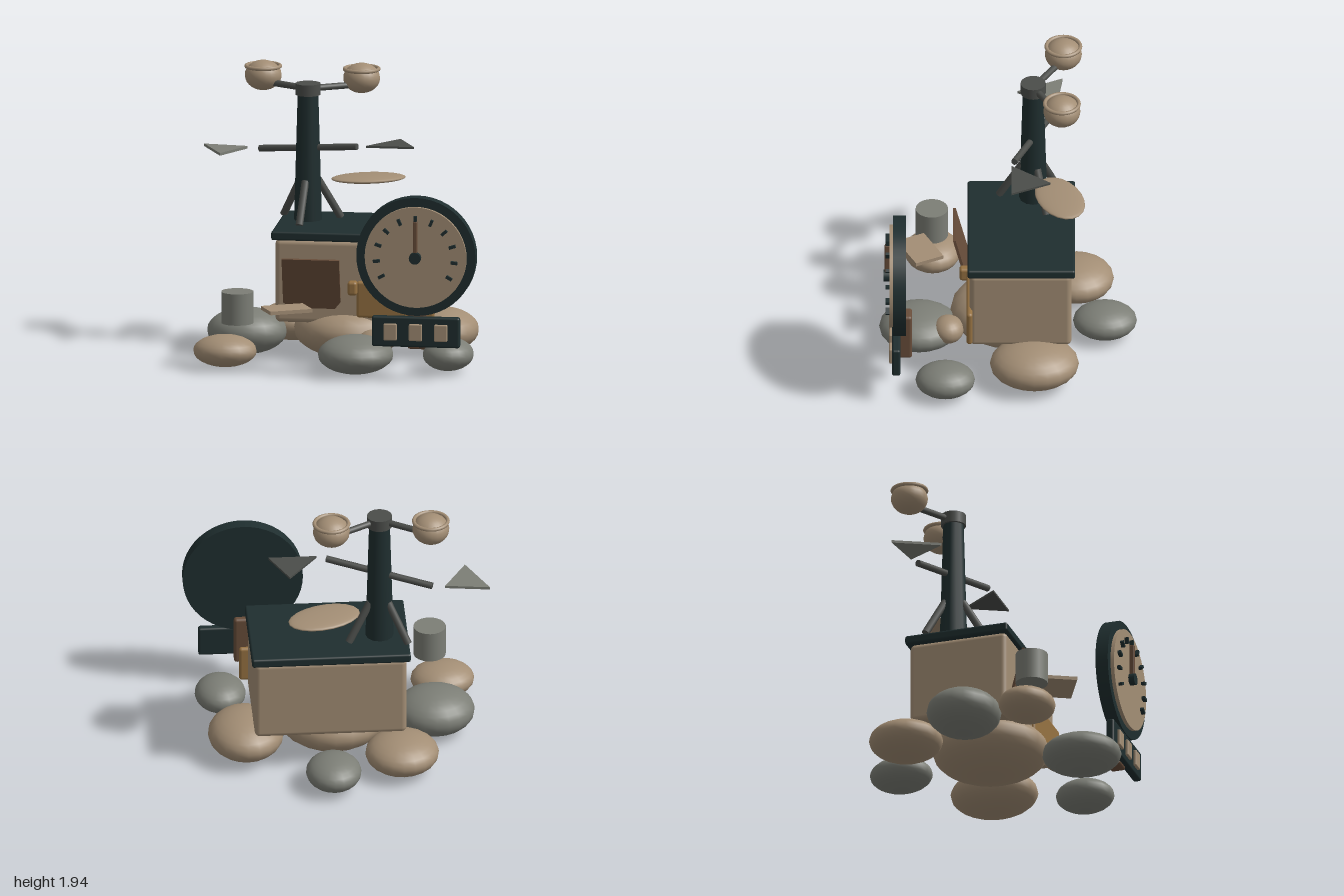
import * as THREE from 'three';
import { RoundedBoxGeometry } from 'three/addons/geometries/RoundedBoxGeometry.js';

const mat = (name, color, side = THREE.FrontSide) => {
  const m = new THREE.MeshStandardMaterial({ color, side });
  m.name = name;
  return m;
};

export function createModel() {
  const group = new THREE.Group();
  const tan = mat('tan', 0xa38e75);
  const dark = mat('dark teal', 0x1f2e2f);
  const metal = mat('dark metal', 0x4b4d4a);
  const stone = mat('stone grey', 0x7c7e76);
  const brown = mat('brown', 0x684d3a);
  const ochre = mat('ochre', 0x967242);

  const add = (name, geometry, material, x = 0, y = 0, z = 0) => {
    const mesh = new THREE.Mesh(geometry, material);
    mesh.name = name;
    mesh.position.set(x, y, z);
    group.add(mesh);
    return mesh;
  };
  // Rounded box given by its limits on each axis
  const box = (name, material, [x0, x1], [y0, y1], [z0, z1], r = 0.01) =>
    add(name, new RoundedBoxGeometry(x1 - x0, y1 - y0, z1 - z0, 3, r), material,
      (x0 + x1) / 2, (y0 + y1) / 2, (z0 + z1) / 2);
  // Straight rod between two points
  const rod = (name, material, a, b, r, sides = 10) => {
    const p = new THREE.Vector3(...a), q = new THREE.Vector3(...b);
    const d = q.clone().sub(p);
    const m = add(name, new THREE.CylinderGeometry(r, r, d.length(), sides), material);
    m.position.copy(p).add(q).multiplyScalar(0.5);
    m.quaternion.setFromUnitVectors(new THREE.Vector3(0, 1, 0), d.normalize());
    return m;
  };
  const ellipsoid = (name, material, [x, y, z], [rx, ry, rz], w = 20, h = 14) => {
    const m = add(name, new THREE.SphereGeometry(1, w, h), material, x, y, z);
    m.scale.set(rx, ry, rz);
    return m;
  };

  // Rocks
  [
    [tan, [0.04, 0.193, -0.01], [0.38, 0.193, 0.395]],
    [stone, [-0.655, 0.165, 0.03], [0.27, 0.155, 0.25]],
    [tan, [-0.74, 0.12, 0.505], [0.215, 0.108, 0.19]],
    [stone, [0.16, 0.137, 0.595], [0.255, 0.128, 0.27]],
    [tan, [0.26, 0.18, 0.4], [0.115, 0.09, 0.105]],
    [stone, [0.765, 0.12, 0.42], [0.172, 0.11, 0.2]],
    [tan, [0.635, 0.163, -0.18], [0.255, 0.148, 0.3]],
    [stone, [0.075, 0.125, -0.655], [0.187, 0.11, 0.215]],
    [tan, [-0.4, 0.14, -0.465], [0.248, 0.128, 0.25]],
  ].forEach(([m, p, s]) => ellipsoid('rock', m, p, s));

  // Hut
  box('hutBody', tan, [-0.435, 0.59], [0.27, 0.84], [-0.43, 0.255], 0.035);
  box('hutRoof', dark, [-0.46, 0.61], [0.835, 0.897], [-0.455, 0.27], 0.015);

  // Tilted hatch with clipped lower corners
  const hatch = new THREE.Shape([
    [-0.195, 0.18], [0.195, 0.18], [0.195, -0.13], [0.155, -0.18], [-0.15, -0.18], [-0.195, -0.14],
  ].map(([x, y]) => new THREE.Vector2(x, y)));
  add('hatch', new THREE.ExtrudeGeometry(hatch, { depth: 0.018, bevelEnabled: false }),
    brown, -0.18, 0.557, 0.305).rotation.x = 0.25;

  // Ochre plate and its knob
  box('ochrePlate', ochre, [0.12, 0.65], [0.32, 0.57], [0.235, 0.277], 0.02);
  box('plateKnob', ochre, [0.065, 0.13], [0.48, 0.575], [0.25, 0.325], 0.02);

  // Mast and braces
  const MX = -0.268, MZ = -0.172;
  add('mast', new THREE.CylinderGeometry(0.07, 0.095, 0.88, 12), dark, MX, 1.33, MZ);
  add('mastCap', new THREE.CylinderGeometry(0.085, 0.085, 0.078, 16), metal, MX, 1.793, MZ);
  for (const deg of [97, 217, 337]) {
    const c = Math.cos(deg * Math.PI / 180), s = Math.sin(deg * Math.PI / 180);
    rod('brace', metal, [MX + 0.23 * c, 0.9, MZ + 0.23 * s], [MX + 0.07 * c, 1.17, MZ + 0.07 * s], 0.026);
  }

  // Wind cups on arms
  for (const [x, z] of [[-0.6, -0.375], [0.07, -0.365]]) {
    rod('cupArm', metal, [MX, 1.795, MZ], [x, 1.795, z], 0.022);
    ellipsoid('windCup', tan, [x, 1.838, z], [0.125, 0.102, 0.125]);
    add('cupRim', new THREE.TorusGeometry(0.115, 0.013, 8, 28), tan, x, 1.9, z).rotation.x = Math.PI / 2;
  }

  // Crossbar and the two triangular vanes
  rod('crossbar', metal, [-0.615, 1.347, -0.31], [0.082, 1.43, -0.045], 0.023);
  const vane = (material, pts, y, t) => {
    const shape = new THREE.Shape(pts.map(([x, z]) => new THREE.Vector2(x, -z)));
    const g = new THREE.ExtrudeGeometry(shape, { depth: t, bevelEnabled: false });
    add('vane', g.rotateX(-Math.PI / 2), material, 0, y - t / 2, 0);
  };
  vane(metal, [[0.345, -0.29], [0.145, -0.025], [0.472, -0.025]], 1.435, 0.014);
  vane(stone, [[-1, -0.37], [-0.852, -0.065], [-0.7, -0.33]], 1.347, 0.018);

  // Floating flat pad
  ellipsoid('flatPad', tan, [0.118, 1.155, -0.352], [0.255, 0.026, 0.155]).rotation.y = 0.35;

  // Drum and plank
  add('drum', new THREE.CylinderGeometry(0.109, 0.109, 0.215, 24), stone, -0.655, 0.422, 0.51);
  add('plank', new THREE.BoxGeometry(0.297, 0.025, 0.205), tan, -0.31, 0.432, 0.59).rotation.y = 0.46;

  // Dial
  const DX = 0.593, DY = 0.853;
  const disc = (name, material, r, z0, z1, sides) => {
    add(name, new THREE.CylinderGeometry(r, r, z1 - z0, sides).rotateX(Math.PI / 2),
      material, DX, DY, (z0 + z1) / 2);
  };
  disc('dialBody', dark, 0.405, 0.683, 0.77, 48);
  disc('dialFace', tan, 0.345, 0.76, 0.795, 48);
  disc('dialHub', dark, 0.04, 0.79, 0.835, 20);
  for (let i = -5; i <= 5; i++) {
    const a = i * 24 * Math.PI / 180;
    const tick = add('dialTick', new THREE.BoxGeometry(0.02, 0.045, 0.025), dark,
      DX + 0.265 * Math.sin(a), DY + 0.265 * Math.cos(a), 0.808);
    tick.rotation.z = -a;
  }
  box('dialNeedle', brown, [DX - 0.014, DX + 0.014], [DY, 1.105], [0.795, 0.827], 0.005);

  // Post and counter below the dial
  box('dialPost', brown, [0.53, 0.655], [0.212, 0.55], [0.643, 0.745], 0.02);
  box('counterPlate', dark, [0.293, 0.89], [0.232, 0.44], [0.722, 0.778], 0.015);
  for (const x of [0.42, 0.592, 0.763])
    box('counterWindow', tan, [x - 0.045, x + 0.045], [0.278, 0.393], [0.77, 0.797], 0.008);

  return group;
}
